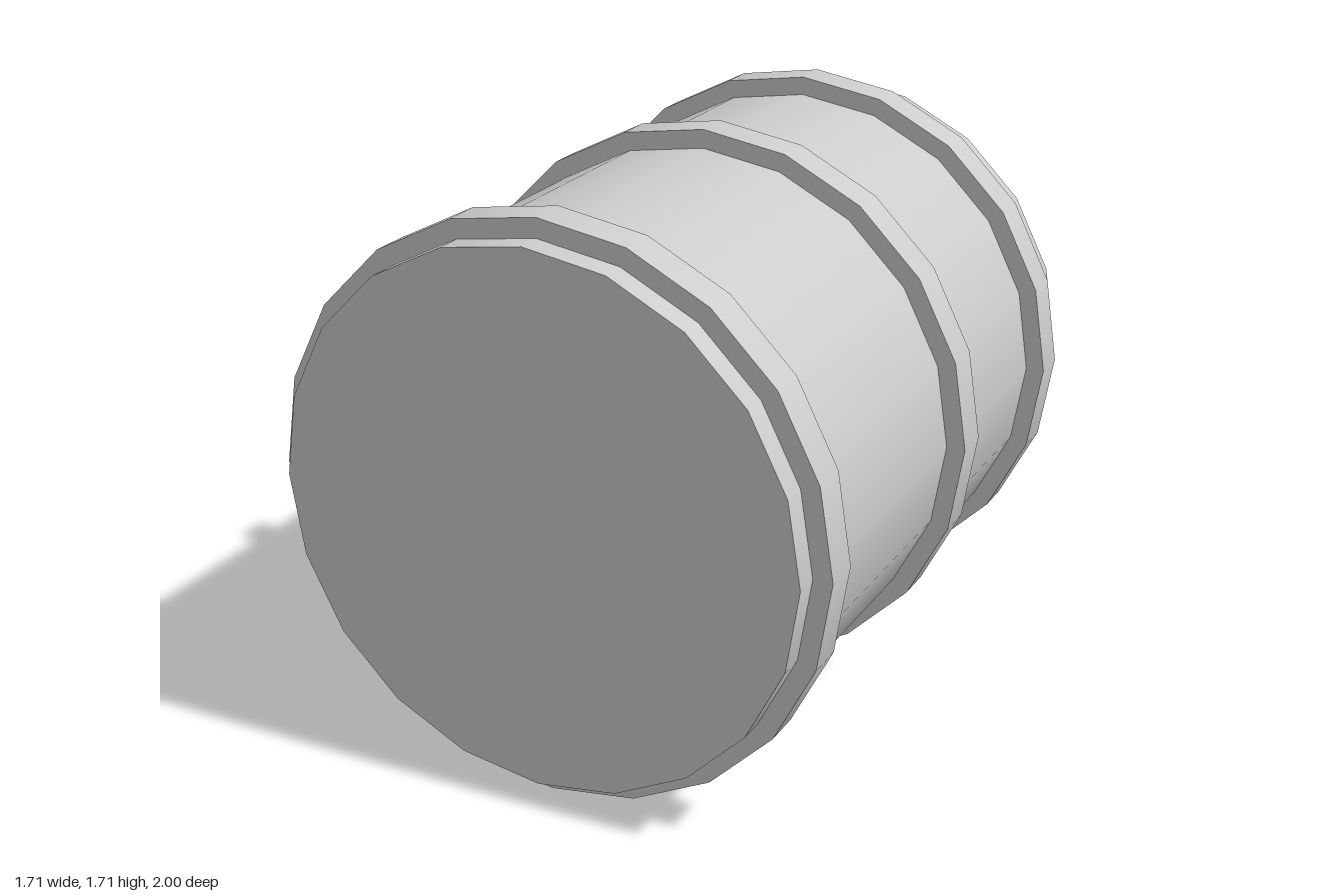
import * as THREE from 'three';

const SIDES = 20;
const BAND_RADIUS = 0.857;
const BODY_RADIUS = 0.8;

export function createModel() {
  const group = new THREE.Group();
  group.name = 'bandedDrum';
  const grey = new THREE.MeshStandardMaterial({ color: 0xcccccc });
  grey.name = 'light grey';

  // Capped cylinder lying along z, a corner pointing straight up
  function addDrum(name, radius, length, z) {
    const geometry = new THREE.CylinderGeometry(radius, radius, length, SIDES);
    geometry.rotateX(Math.PI / 2);
    const mesh = new THREE.Mesh(geometry, grey);
    mesh.name = name;
    mesh.position.set(0, BAND_RADIUS, z);
    group.add(mesh);
  }

  // Main body
  addDrum('body', BODY_RADIUS, 2, 0);

  // Raised hoops around the body
  addDrum('frontBand', BAND_RADIUS, 0.114, 0.867);
  addDrum('middleBand', BAND_RADIUS, 0.114, -0.085);
  addDrum('backBand', BAND_RADIUS, 0.114, -0.79);

  return group;
}
